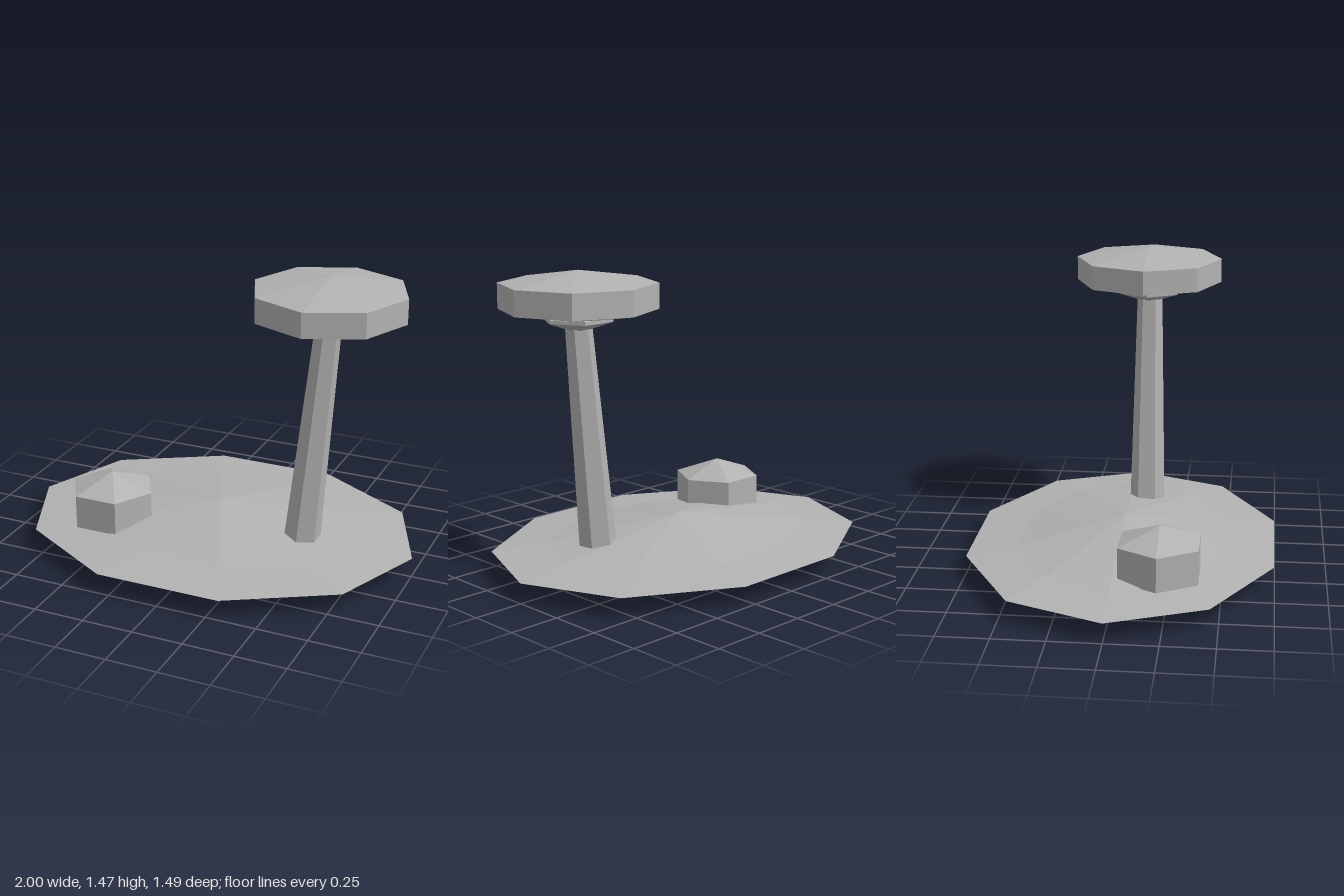
import * as THREE from 'three';

const grey = new THREE.MeshStandardMaterial({ color: 0xb2b2b2 });
grey.name = 'stone grey';

// Split the faces so every facet gets its own flat normal
function facetMesh(name, geometry) {
  const flat = geometry.index ? geometry.toNonIndexed() : geometry;
  flat.computeVertexNormals();
  const mesh = new THREE.Mesh(flat, grey);
  mesh.name = name;
  return mesh;
}

// Faceted drum: pointed bottom, straight rim, pointed top, corners on +-x
function drum(name, sides, rx, rz, [tip, rimLow, rimHigh, peak], x = 0, z = 0) {
  const profile = [new THREE.Vector2(0, tip), new THREE.Vector2(1, rimLow)];
  if (rimHigh > rimLow) profile.push(new THREE.Vector2(1, rimHigh));
  profile.push(new THREE.Vector2(0, peak));
  const geometry = new THREE.LatheGeometry(profile, sides, Math.PI / 2);
  geometry.scale(rx, 1, rz);
  geometry.translate(x, 0, z);
  return facetMesh(name, geometry);
}

// Six-sided trunk, tapered and leaning sideways
function leaningTrunk() {
  const low = 0.1, high = 1.25;
  const geometry = new THREE.CylinderGeometry(0.063, 0.091, high - low, 6);
  geometry.translate(0, (low + high) / 2, 0.075);
  const p = geometry.attributes.position;
  for (let i = 0; i < p.count; i++) {
    p.setX(i, p.getX(i) + 0.465 + (p.getY(i) - 0.15) * 0.095);
  }
  return facetMesh('trunk', geometry);
}

export function createModel() {
  const model = new THREE.Group();
  model.name = 'islandWithTree';
  model.add(
    drum('islandBase', 10, 1, 0.783, [0, 0.097, 0.097, 0.176]),
    drum('islandMound', 10, 0.74, 0.526, [0.06, 0.125, 0.125, 0.223]),
    drum('bush', 6, 0.215, 0.215, [0.05, 0.122, 0.29, 0.368], -0.5, 0.212),
    leaningTrunk(),
    drum('crownCollar', 6, 0.17, 0.17, [1.18, 1.24, 1.257, 1.29], 0.57, 0.073),
    drum('crown', 8, 0.37, 0.37, [1.232, 1.294, 1.414, 1.472], 0.57, 0.07),
  );
  return model;
}
